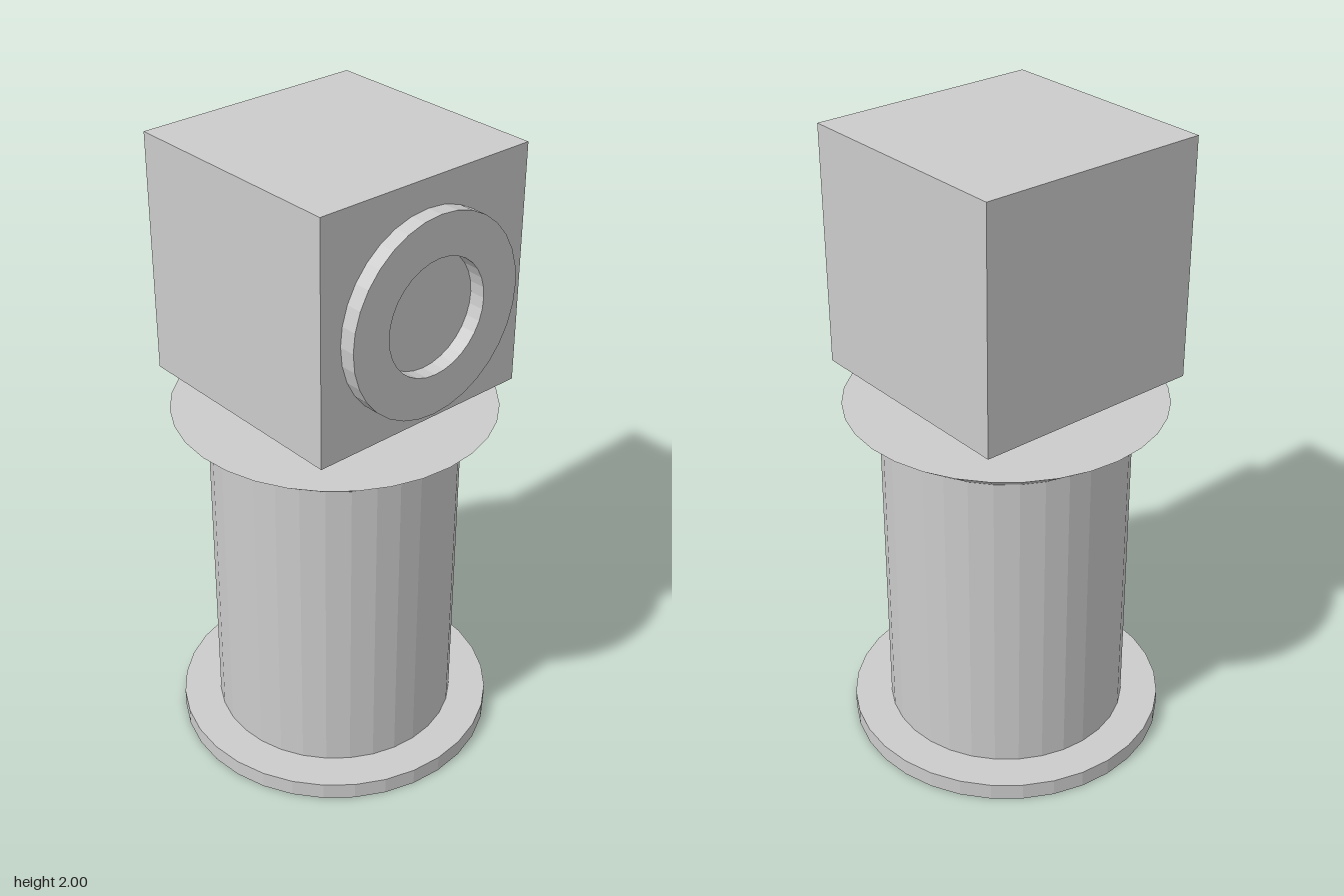
import * as THREE from 'three';

const SIDES = 32;

export function createModel() {
  const model = new THREE.Group();
  const material = new THREE.MeshStandardMaterial({ color: 0xcccccc, flatShading: true });

  const add = (name, geometry, x, y, z) => {
    const mesh = new THREE.Mesh(geometry, material);
    mesh.name = name;
    mesh.position.set(x, y, z);
    model.add(mesh);
  };

  // Round section standing between two heights
  const drum = (name, rTop, rBottom, y0, y1) =>
    add(name, new THREE.CylinderGeometry(rTop, rBottom, y1 - y0, SIDES), 0, (y0 + y1) / 2, 0);

  drum('basePlate', 0.505, 0.505, 0, 0.055);
  drum('column', 0.385, 0.385, 0.055, 1.085);
  drum('flaredRim', 0.496, 0.385, 1.085, 1.163);

  // Cube head floating just above the rim
  const size = 0.745;
  add('head', new THREE.BoxGeometry(size, size, size), 0, 2 - size / 2, 0);

  // Raised ring on the front of the head
  const ring = new THREE.Shape().absarc(0, 0, 0.304, 0, Math.PI * 2);
  ring.holes.push(new THREE.Path().absarc(0, 0, 0.177, 0, Math.PI * 2, true));
  const ringGeometry = new THREE.ExtrudeGeometry(ring, {
    depth: 0.05, bevelEnabled: false, curveSegments: SIDES / 2,
  });
  add('frontRing', ringGeometry, 0, 1.61, size / 2);

  return model;
}
